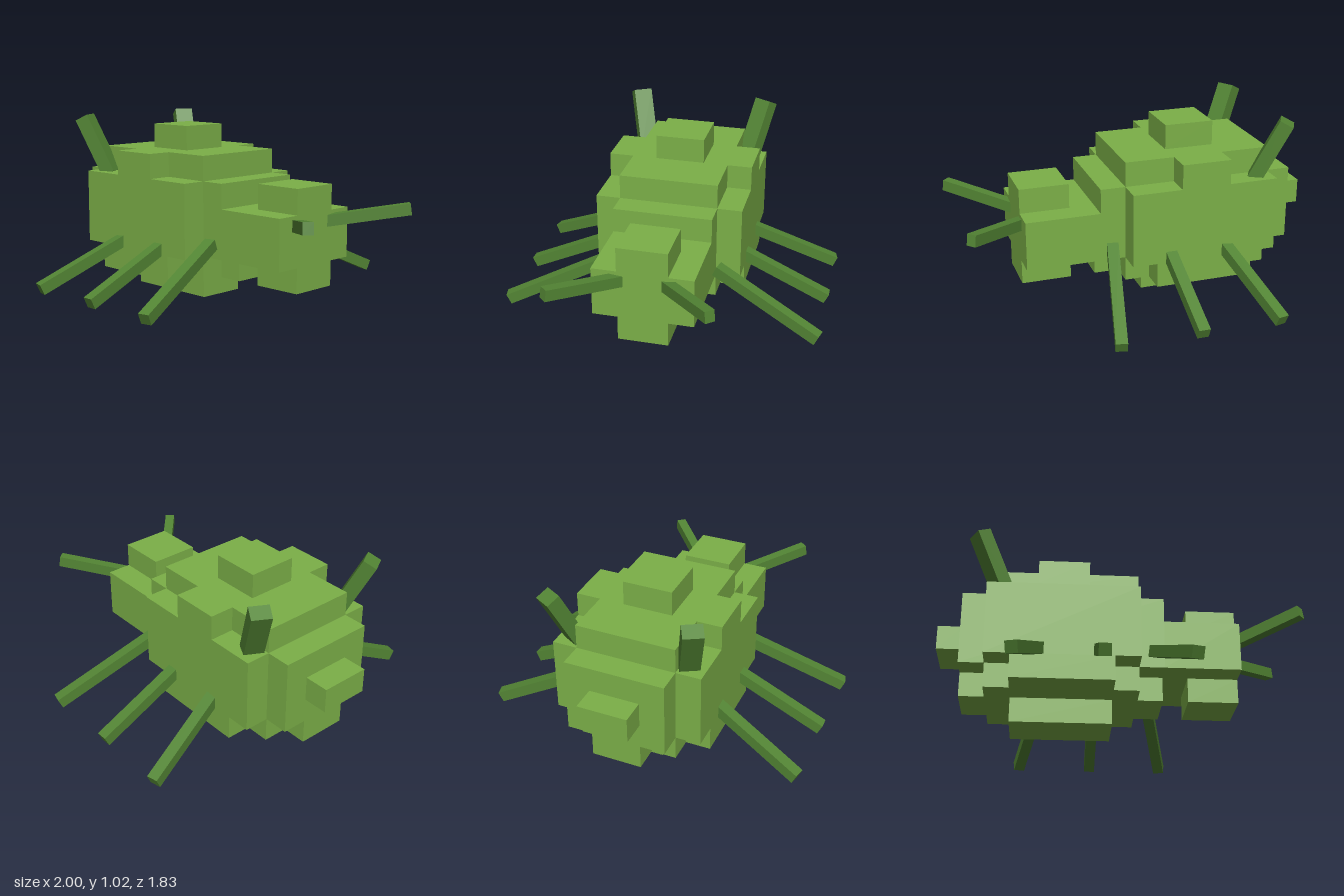
import * as THREE from 'three';

const U = 0.1387; // block size

export function createModel() {
  const model = new THREE.Group();
  model.name = 'blockBug';
  const bodyGreen = new THREE.MeshStandardMaterial({ color: 0x7cb048 });
  bodyGreen.name = 'leaf green';
  const limbGreen = new THREE.MeshStandardMaterial({ color: 0x538534 });
  limbGreen.name = 'dark green';

  // Block from x0..x1 and y0..y1 in block units, mirrored in z to +-halfZ
  function block(parent, name, x0, x1, y0, y1, halfZ) {
    const geo = new THREE.BoxGeometry((x1 - x0) * U, (y1 - y0) * U, halfZ * 2 * U);
    const mesh = new THREE.Mesh(geo, bodyGreen);
    mesh.name = name;
    mesh.position.set(-1 + (x0 + x1) / 2 * U, (y0 + y1) / 2 * U, 0);
    parent.add(mesh);
  }

  // Square-ended bar between two points, mirrored to both z sides
  function barPair(name, from, to, width, height) {
    for (const side of [1, -1]) {
      const a = new THREE.Vector3(from[0], from[1], from[2] * side);
      const b = new THREE.Vector3(to[0], to[1], to[2] * side);
      const mesh = new THREE.Mesh(new THREE.BoxGeometry(width, height, a.distanceTo(b)), limbGreen);
      mesh.name = name + (side > 0 ? 'Front' : 'Back');
      mesh.position.copy(a).add(b).multiplyScalar(0.5);
      mesh.lookAt(b);
      model.add(mesh);
    }
  }

  // Stepped round body
  const body = new THREE.Group();
  body.name = 'body';
  model.add(body);
  block(body, 'belly', 3, 7, 0, 1, 1);
  block(body, 'lowerLong', 1, 9, 1, 2, 1);
  block(body, 'lowerMiddle', 2, 8, 1, 2, 2);
  block(body, 'lowerWide', 3, 7, 1, 2, 3);
  block(body, 'middleLong', 1, 9, 2, 5, 2);
  block(body, 'middleWide', 2, 8, 2, 5, 3);
  block(body, 'upperLong', 2, 8, 5, 6, 2);
  block(body, 'upperWide', 4, 6, 5, 6, 3);
  block(body, 'topCap', 4, 6, 6, 7, 1);
  block(body, 'tailStub', 0, 1, 3, 4, 1);

  // Head with a block above and below
  const head = new THREE.Group();
  head.name = 'head';
  model.add(head);
  block(head, 'headCore', 9, 12, 2, 4, 2);
  block(head, 'headTop', 10, 12, 4, 5, 1);
  block(head, 'headBottom', 10, 12, 1, 2, 1);

  // Three splayed legs on each side
  [-1, 0, 1].forEach((s, i) => {
    barPair('leg' + (i + 1), [-0.11 + 0.3 * s, 0.362, 0.297], [-0.11 + 0.443 * s, 0.088, 0.895], 0.063, 0.063);
  });

  // Feelers on the head and horns at the rear
  barPair('feeler', [0.64, 0.496, 0.12], [0.975, 0.563, 0.422], 0.055, 0.063);
  barPair('horn', [-0.635, 0.68, 0.313], [-0.777, 1.005, 0.392], 0.107, 0.08);

  return model;
}
